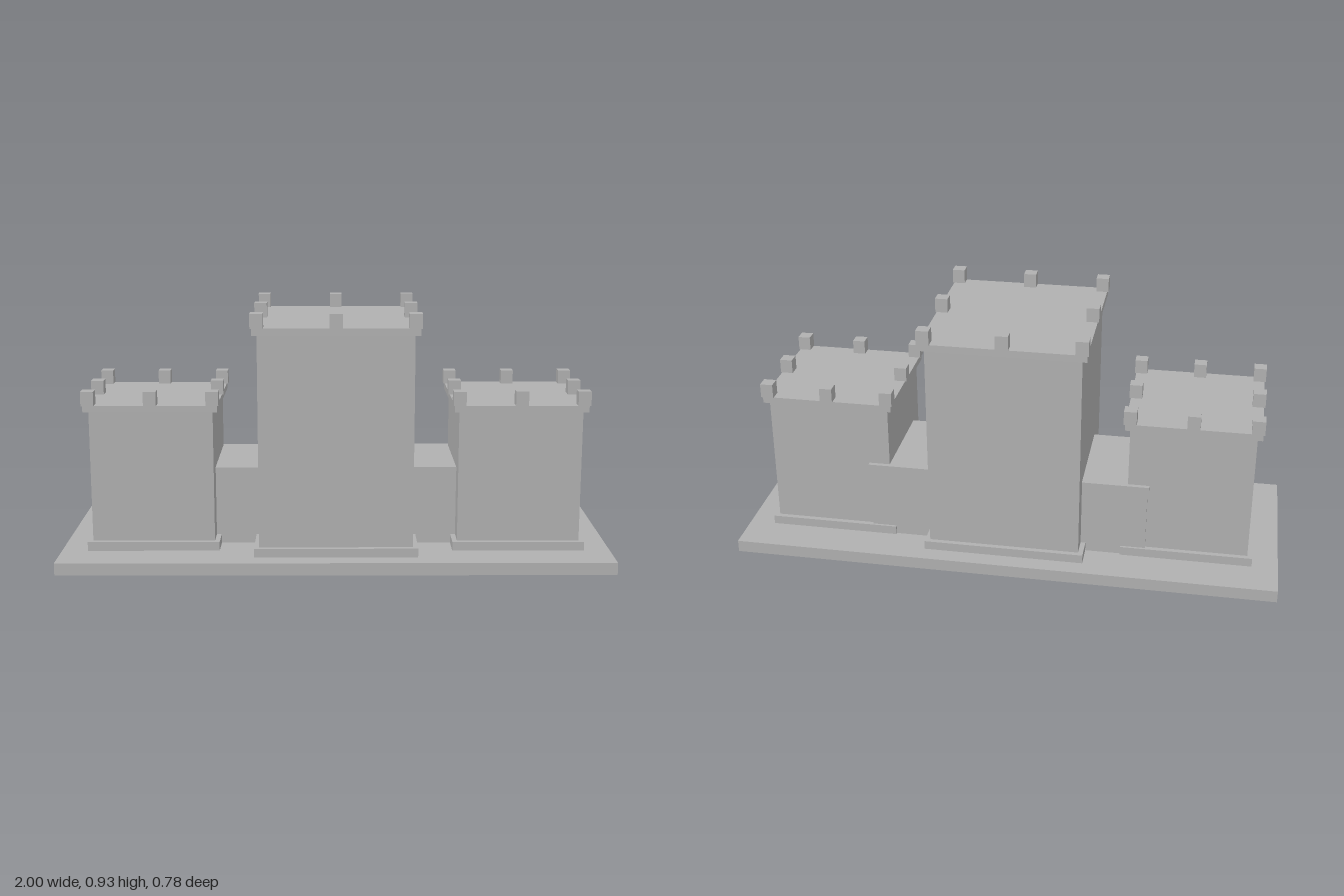
import * as THREE from 'three';

const stone = new THREE.MeshStandardMaterial({ color: 0xb0b0b0 });
stone.name = 'grey stone';

// Box given by its extents on each axis
function block(name, [x0, x1], [y0, y1], [z0, z1]) {
  const mesh = new THREE.Mesh(new THREE.BoxGeometry(x1 - x0, y1 - y0, z1 - z0), stone);
  mesh.position.set((x0 + x1) / 2, (y0 + y1) / 2, (z0 + z1) / 2);
  mesh.name = name;
  return mesh;
}

// Square tower with plinth, roof slab and eight merlons around the edge
function tower(name, x, halfX, halfZ, wallTop, roofTop) {
  const group = new THREE.Group();
  group.name = name;
  group.position.x = x;
  const lip = 0.018, m = 0.023;
  const wide = [-halfX - lip, halfX + lip];
  const deep = [-halfZ - lip, halfZ + lip];
  group.add(
    block('plinth', wide, [0.045, 0.078], deep),
    block('towerWalls', [-halfX, halfX], [0.045, wallTop], [-halfZ, halfZ]),
    block('roofSlab', wide, [wallTop, roofTop], deep)
  );
  for (const i of [-1, 0, 1]) {
    for (const k of [-1, 0, 1]) {
      if (i === 0 && k === 0) continue;
      const cx = i * halfX, cz = k * halfZ;
      group.add(block('merlon', [cx - m, cx + m], [roofTop, roofTop + 0.052], [cz - m, cz + m]));
    }
  }
  return group;
}

export function createModel() {
  const model = new THREE.Group();
  model.name = 'fortress';
  model.add(block('base', [-1, 1], [0, 0.045], [-0.388, 0.388]));
  model.add(tower('mainTower', 0, 0.277, 0.305, 0.848, 0.873));

  for (const s of [-1, 1]) {
    const side = s > 0 ? 'left' : 'right';
    model.add(tower(side + 'Tower', s * 0.665, 0.2225, 0.2225, 0.56, 0.584));
    // Linking wall, running a little way past the inner face of the side tower
    const span = s > 0 ? [0.2, 0.515] : [-0.515, -0.2];
    const capSpan = s > 0 ? [0.2, 0.52] : [-0.52, -0.2];
    model.add(
      block(side + 'LinkWall', span, [0.045, 0.314], [-0.232, 0.142]),
      block(side + 'LinkCoping', capSpan, [0.314, 0.335], [-0.238, 0.146])
    );
  }
  return model;
}
